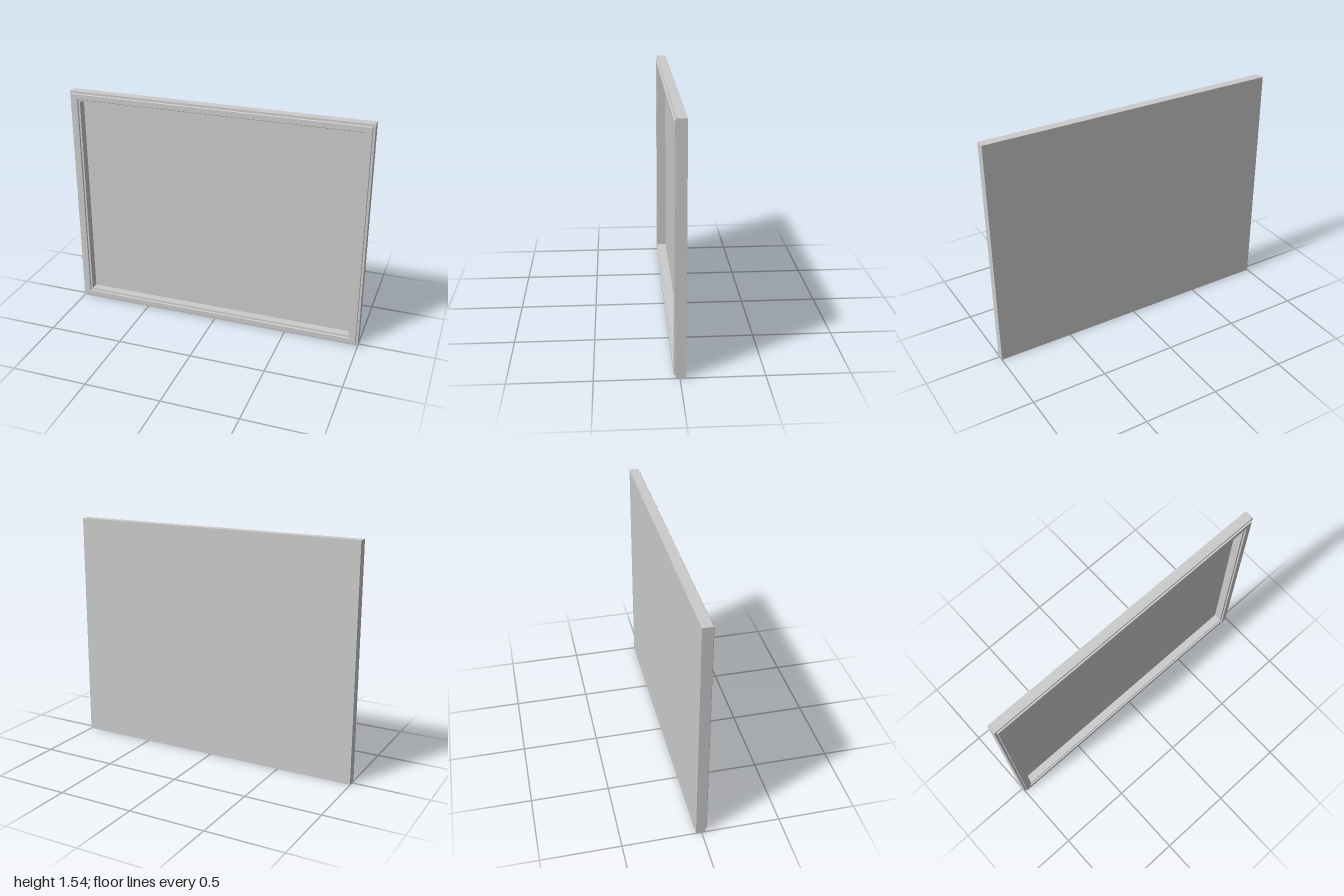
import * as THREE from 'three';

const WIDTH = 2, HEIGHT = 1.536;

// Sweeps a profile of [inset, z] points around the rectangle with mitred corners.
// Optional caps fill the first and last rectangles.
function rectangularSweep(profile, capped) {
  const corners = ([inset, z]) => {
    const x = WIDTH / 2 - inset, y0 = inset, y1 = HEIGHT - inset;
    return [[-x, y0, z], [x, y0, z], [x, y1, z], [-x, y1, z]];
  };
  const positions = [];
  const quad = (a, b, c, d) => positions.push(...a, ...b, ...c, ...a, ...c, ...d);
  const loops = profile.map(corners);
  for (let i = 0; i < loops.length - 1; i++) {
    const p = loops[i], q = loops[i + 1];
    for (let k = 0; k < 4; k++) {
      const n = (k + 1) % 4;
      quad(p[k], p[n], q[n], q[k]);
    }
  }
  if (capped) {
    const first = loops[0], last = loops[loops.length - 1];
    quad(first[3], first[2], first[1], first[0]);
    quad(...last);
  }
  const geometry = new THREE.BufferGeometry();
  geometry.setAttribute('position', new THREE.Float32BufferAttribute(positions, 3));
  geometry.computeVertexNormals();
  return geometry;
}

export function createModel() {
  const group = new THREE.Group();
  group.name = 'framedPanel';
  const material = new THREE.MeshStandardMaterial({ color: 0xcccccc });
  const add = (name, geometry) => {
    const mesh = new THREE.Mesh(geometry, material);
    mesh.name = name;
    group.add(mesh);
  };

  // Tray: outer sides, front rim, inner walls, recessed panel and flat back
  add('frameAndPanel', rectangularSweep([
    [0, -0.036], [0, 0.025], [0.066, 0.025], [0.066, -0.03],
  ], true));

  // Raised bead with small rounded edges around the front rim
  const outer = 0.014, inner = 0.054, base = 0.025, front = 0.036, r = 0.004, steps = 4;
  const bead = [[outer, base]];
  for (let i = 0; i <= steps; i++) {
    const a = (i / steps) * Math.PI / 2;
    bead.push([outer + r * (1 - Math.cos(a)), front - r * (1 - Math.sin(a))]);
  }
  for (let i = 0; i <= steps; i++) {
    const a = (i / steps) * Math.PI / 2;
    bead.push([inner - r * (1 - Math.sin(a)), front - r * (1 - Math.cos(a))]);
  }
  bead.push([inner, base]);
  add('frontBead', rectangularSweep(bead, false));

  return group;
}
